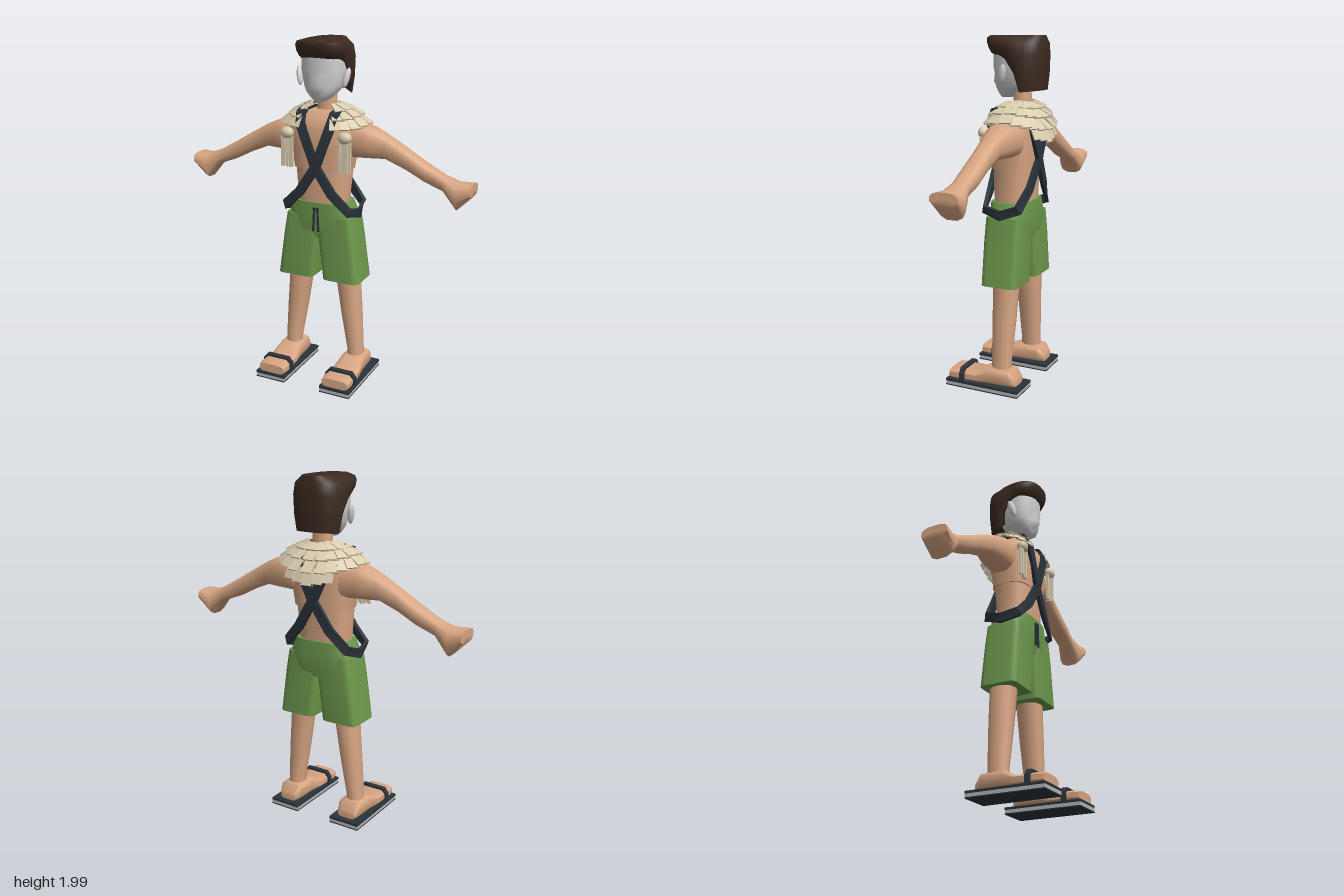
import * as THREE from 'three';
import { toCreasedNormals } from 'three/addons/utils/BufferGeometryUtils.js';

const mat = (name, color) => Object.assign(new THREE.MeshStandardMaterial({ color }), { name });
const V = (x, y, z) => new THREE.Vector3(x, y, z);
const pow = (v, p) => Math.sign(v) * Math.pow(Math.abs(v), p);

// Skins a list of rings (arrays of points); caps both ends unless the loop is closed
function skin(rings, { closed = false, crease = 0.6 } = {}) {
  const pos = [], tri = (...p) => p.forEach((v) => pos.push(v.x, v.y, v.z));
  const m = rings.length, n = rings[0].length;
  for (let i = 0; i < (closed ? m : m - 1); i++) {
    const lo = rings[i], hi = rings[(i + 1) % m];
    for (let j = 0; j < n; j++) {
      const k = (j + 1) % n;
      tri(lo[j], hi[j], lo[k]);
      tri(lo[k], hi[j], hi[k]);
    }
  }
  if (!closed) {
    const mid = (r) => r.reduce((s, p) => s.add(p), V(0, 0, 0)).divideScalar(n);
    const a = rings[0], b = rings[m - 1], ca = mid(a), cb = mid(b);
    for (let j = 0; j < n; j++) {
      const k = (j + 1) % n;
      tri(ca, a[j], a[k]);
      tri(cb, b[k], b[j]);
    }
  }
  const g = new THREE.BufferGeometry();
  g.setAttribute('position', new THREE.Float32BufferAttribute(pos, 3));
  return toCreasedNormals(g, crease);
}

// Rounded-box ring: p = 1 is an ellipse, smaller p is squarer
const ring = ([y, cx, cz, rx, rz], n, p) => Array.from({ length: n }, (_, j) => {
  const t = ((j + 0.5) / n) * Math.PI * 2;
  return V(cx + rx * pow(Math.cos(t), p), y, cz + rz * pow(Math.sin(t), p));
});
const loft = (sections, n = 12, p = 0.8, crease = 0.6) =>
  skin(sections.map((s) => ring(s, n, p)), { crease });

// Flat closed band following points with outward normals
function band(path, w, th) {
  const m = path.length;
  return skin(path.map(([p, nrm], i) => {
    const t = path[(i + 1) % m][0].clone().sub(path[(i + m - 1) % m][0]).normalize();
    const s = t.clone().cross(nrm).normalize();
    const u = s.clone().cross(t).normalize();
    return [[1, 1], [-1, 1], [-1, -1], [1, -1]].map(([a, b]) =>
      p.clone().addScaledVector(s, (a * w) / 2).addScaledVector(u, (b * th) / 2));
  }), { closed: true });
}

// Mirrored copy with corrected face order
function mirror(geo) {
  const g = geo.index ? geo.toNonIndexed() : geo.clone();
  g.scale(-1, 1, 1);
  for (const a of Object.values(g.attributes)) {
    const s = a.itemSize;
    for (let i = 0; i < a.count; i += 3)
      for (let c = 0; c < s; c++) {
        const u = (i + 1) * s + c, v = (i + 2) * s + c, h = a.array[u];
        a.array[u] = a.array[v];
        a.array[v] = h;
      }
  }
  return g;
}

export function createModel() {
  const M = {
    skin: mat('skin', 0xd8a683), face: mat('face grey', 0xd4d4d4), hair: mat('dark brown hair', 0x3b2a20),
    green: mat('shorts green', 0x6c984c), ivory: mat('ivory', 0xdacdb0),
    strap: mat('charcoal', 0x2a333b), sole: mat('sole grey', 0xb4b4b4),
  };
  const model = new THREE.Group();
  model.name = 'figure';
  const add = (name, geo, m) => {
    const mesh = new THREE.Mesh(geo, m);
    mesh.name = name;
    model.add(mesh);
  };
  const pair = (name, geo, m) => {
    add(name + 'Left', geo, m);
    add(name + 'Right', mirror(geo), m);
  };
  const box = (w, h, d, x, y, z) => new THREE.BoxGeometry(w, h, d).translate(x, y, z);

  // Torso and neck
  add('abdomen', loft([[1.04, 0, -0.055, 0.15, 0.1], [1.15, 0, -0.055, 0.155, 0.105], [1.3, 0, -0.06, 0.168, 0.11]], 16, 0.7), M.skin);
  add('chest', loft([[1.27, 0, -0.06, 0.17, 0.115], [1.4, 0, -0.06, 0.19, 0.122], [1.5, 0, -0.06, 0.2, 0.122],
    [1.56, 0, -0.065, 0.17, 0.11], [1.6, 0, -0.07, 0.11, 0.08]], 16, 0.6), M.skin);
  add('neck', loft([[1.57, 0, -0.09, 0.058, 0.05], [1.73, 0, -0.09, 0.054, 0.047]], 12, 0.8, 1), M.skin);

  // Head with the nose drawn forward from the face, and ears
  const headRings = [[1.655, 0, 0.005, 0.03, 0.028], [1.675, 0, -0.015, 0.06, 0.06], [1.71, 0, -0.035, 0.092, 0.095],
    [1.74, 0, -0.046, 0.107, 0.108], [1.785, 0, -0.056, 0.119, 0.12], [1.83, 0, -0.06, 0.126, 0.132],
    [1.95, 0, -0.06, 0.126, 0.13]].map((s) => ring(s, 24, 0.85));
  headRings[3].forEach((p) => { if (p.z > 0 && Math.abs(p.x) < 0.025) p.z += 0.018; });
  add('head', skin(headRings, { crease: 1.3 }), M.face);
  pair('ear', new THREE.SphereGeometry(1, 12, 8).scale(0.017, 0.058, 0.023).rotateX(-0.25).rotateZ(-0.2).translate(0.143, 1.785, -0.03), M.face);

  // Hair: the hem drops from the fringe to the nape
  const hem = [[-0.24, 1.7], [-0.125, 1.69], [-0.105, 1.77], [-0.07, 1.85], [0, 1.895], [0.1, 1.905]];
  const hemAt = (z) => {
    const i = Math.max(1, hem.findIndex((h) => h[0] >= z));
    const [a, b] = [hem[i - 1], hem[i]];
    return a[1] + ((z - a[0]) / (b[0] - a[0])) * (b[1] - a[1]);
  };
  const hairRings = [[0, 0, -0.07, 0.134, 0.15], [0.3, 0, -0.068, 0.147, 0.161], [0.65, 0, -0.065, 0.151, 0.167],
    [0.86, 0, -0.063, 0.138, 0.167], [1, 0, -0.062, 0.085, 0.158]].map((s) => ring(s, 36, 0.72));
  const lows = hairRings[0].map((p) => hemAt(p.z));
  hairRings.forEach((r) => r.forEach((p, j) => { p.y = lows[j] + p.y * (1.993 - lows[j]); }));
  add('hair', skin(hairRings, { crease: 0.8 }), M.hair);
  for (let i = -2; i <= 2; i++)
    add('fringeTuft', new THREE.ConeGeometry(0.03, 0.07, 4).rotateX(1.35).translate(i * 0.04, 1.968 - Math.abs(i) * 0.007, 0.074 - Math.abs(i) * 0.012), M.hair);

  // Arms: sections run outward along x as [x, y, half height, half depth]
  const arm = [[0.15, 1.44, 0.1, 0.09], [0.25, 1.44, 0.095, 0.09], [0.3, 1.432, 0.085, 0.082], [0.37, 1.418, 0.068, 0.062],
    [0.49, 1.36, 0.058, 0.055], [0.6, 1.3, 0.053, 0.058], [0.71, 1.25, 0.044, 0.052],
    [0.79, 1.19, 0.076, 0.078], [0.87, 1.23, 0.036, 0.08]];
  pair('arm', loft(arm.map(([x, y, h, d]) => [x, -y, -0.08, h, d]), 12, 0.75, 0.9).rotateZ(-Math.PI / 2), M.skin);

  // Legs and feet
  pair('leg', loft([[0.09, 0.208, -0.06, 0.048, 0.058], [0.16, 0.207, -0.06, 0.047, 0.058], [0.4, 0.178, -0.063, 0.062, 0.068],
    [0.66, 0.148, -0.065, 0.073, 0.076]], 10, 0.85, 1), M.skin);
  const foot = [[-0.165, 0.062, 0.055, 0.024], [-0.13, 0.085, 0.07, 0.05], [0, 0.085, 0.074, 0.052],
    [0.07, 0.067, 0.082, 0.033], [0.2, 0.066, 0.088, 0.031], [0.242, 0.064, 0.082, 0.028]];
  pair('foot', loft(foot.map(([z, y, w, h]) => [z, 0.208, -y, w, h]), 12, 0.55, 0.8).rotateX(Math.PI / 2), M.skin);

  // Sandals: dark tread, pale middle, dark footbed and an arched strap
  pair('sandalTread', box(0.19, 0.006, 0.455, 0.21, 0.003, 0.0275), M.strap);
  pair('sandalMiddle', box(0.188, 0.019, 0.453, 0.21, 0.0155, 0.0275), M.sole);
  pair('sandalFootbed', box(0.19, 0.014, 0.455, 0.21, 0.032, 0.0275), M.strap);
  const arch = new THREE.Shape([[-0.097, 0.035], [-0.094, 0.085], [-0.07, 0.115], [0.07, 0.115], [0.094, 0.085], [0.097, 0.035],
    [0.085, 0.035], [0.083, 0.08], [0.064, 0.102], [-0.064, 0.102], [-0.083, 0.08], [-0.085, 0.035]].map(([x, y]) => new THREE.Vector2(x, y)));
  pair('sandalStrap', new THREE.ExtrudeGeometry(arch, { depth: 0.03, bevelEnabled: false }).translate(0.208, 0, 0.14), M.strap);

  // Shorts with drawstring
  add('shortsSeat', loft([[0.87, 0, -0.057, 0.17, 0.104], [0.92, 0, -0.057, 0.205, 0.112], [1.0, 0, -0.057, 0.202, 0.114],
    [1.08, 0, -0.055, 0.165, 0.112]], 16, 0.55), M.green);
  pair('shortsLeg', loft([[0.615, 0.145, -0.055, 0.113, 0.109], [0.88, 0.11, -0.055, 0.11, 0.109],
    [1.0, 0.1, -0.055, 0.1, 0.105]], 16, 0.26), M.green);
  pair('drawstring', box(0.009, 0.14, 0.012, 0, 0, 0).rotateZ(0.05).translate(0.013, 0.98, 0.062), M.strap);
  add('drawstringKnot', box(0.035, 0.012, 0.012, 0, 1.045, 0.06), M.strap);

  // Crossed straps, each looping over one shoulder and under the opposite hip
  const strapPath = [
    [V(-0.1, 1.615, -0.06), V(0, 1, 0)], [V(-0.102, 1.59, 0.035), V(0, 0.7, 0.7)], [V(-0.092, 1.53, 0.066), V(0, 0, 1)],
    [V(0, 1.29, 0.067), V(0, 0, 1)], [V(0.1, 1.14, 0.062), V(0.1, 0, 1)], [V(0.2, 1.045, 0.05), V(0.6, 0, 0.8)],
    [V(0.22, 1.02, -0.055), V(1, 0, 0)], [V(0.2, 1.055, -0.155), V(0.6, 0, -0.8)], [V(0.1, 1.16, -0.18), V(0.1, 0, -1)],
    [V(0, 1.32, -0.193), V(0, 0, -1)], [V(-0.098, 1.52, -0.192), V(0, 0, -1)], [V(-0.105, 1.59, -0.155), V(0, 0.7, -0.7)],
  ];
  pair('crossStrap', band(strapPath, 0.054, 0.022), M.strap);

  // Shoulder mantle of overlapping tiles, open at the front
  const tile = (x, y, z, phi, slope, w, len) => {
    const out = V(Math.sin(phi), 0, Math.cos(phi));
    const down = out.clone().multiplyScalar(Math.cos(slope)).add(V(0, -Math.sin(slope), 0));
    const side = V(Math.cos(phi), 0, -Math.sin(phi));
    const basis = new THREE.Matrix4().makeBasis(side, down.clone().cross(side), down).setPosition(x, y, z);
    add('mantleTile', new THREE.BoxGeometry(w, 0.008, len).applyMatrix4(basis), M.ivory);
  };
  // Rows as [half width, half depth, height, slope, first angle, count]
  [[0.12, 0.09, 1.62, 0.25, 0.95, 11], [0.178, 0.125, 1.598, 0.4, 0.64, 15], [0.23, 0.15, 1.562, 0.62, 0.46, 19]]
    .forEach(([rx, rz, y, slope, start, count], k) => {
      for (let i = 0; i < count; i++) {
        const a = start + (i / (count - 1)) * (Math.PI * 2 - 2 * start);
        const back = Math.max(0, -Math.cos(a)), front = Math.max(0, Math.cos(a)), j = Math.sin(i * 7.3 + k * 4.1);
        const phi = Math.atan2(Math.sin(a) / rx, Math.cos(a) / rz);
        tile(rx * pow(Math.sin(a), 0.8), y - (back * 0.022 + front * 0.012) * k + j * 0.005, -0.08 + rz * pow(Math.cos(a), 0.8),
          phi, slope + 0.2 * back + 0.3 * front + j * 0.08, 0.068, 0.078);
      }
    });
  for (let i = -2; i <= 2; i++)
    tile(i * 0.06, 1.455 + Math.abs(i) * 0.012, -0.24 + Math.abs(i) * 0.008, Math.PI - i * 0.12, 1.15, 0.064, 0.085);

  // Tassels hanging on the chest
  pair('tasselKnob', new THREE.SphereGeometry(1, 10, 6).scale(0.042, 0.034, 0.032).translate(0.178, 1.472, 0.062), M.ivory);
  for (let i = -2; i <= 2; i++)
    pair('tasselStrand', box(0.013, 0.175 - (i % 2) * 0.008, 0.014, 0.178 + i * 0.0155, 1.365, 0.064 + (i % 2) * 0.006), M.ivory);

  return model;
}
